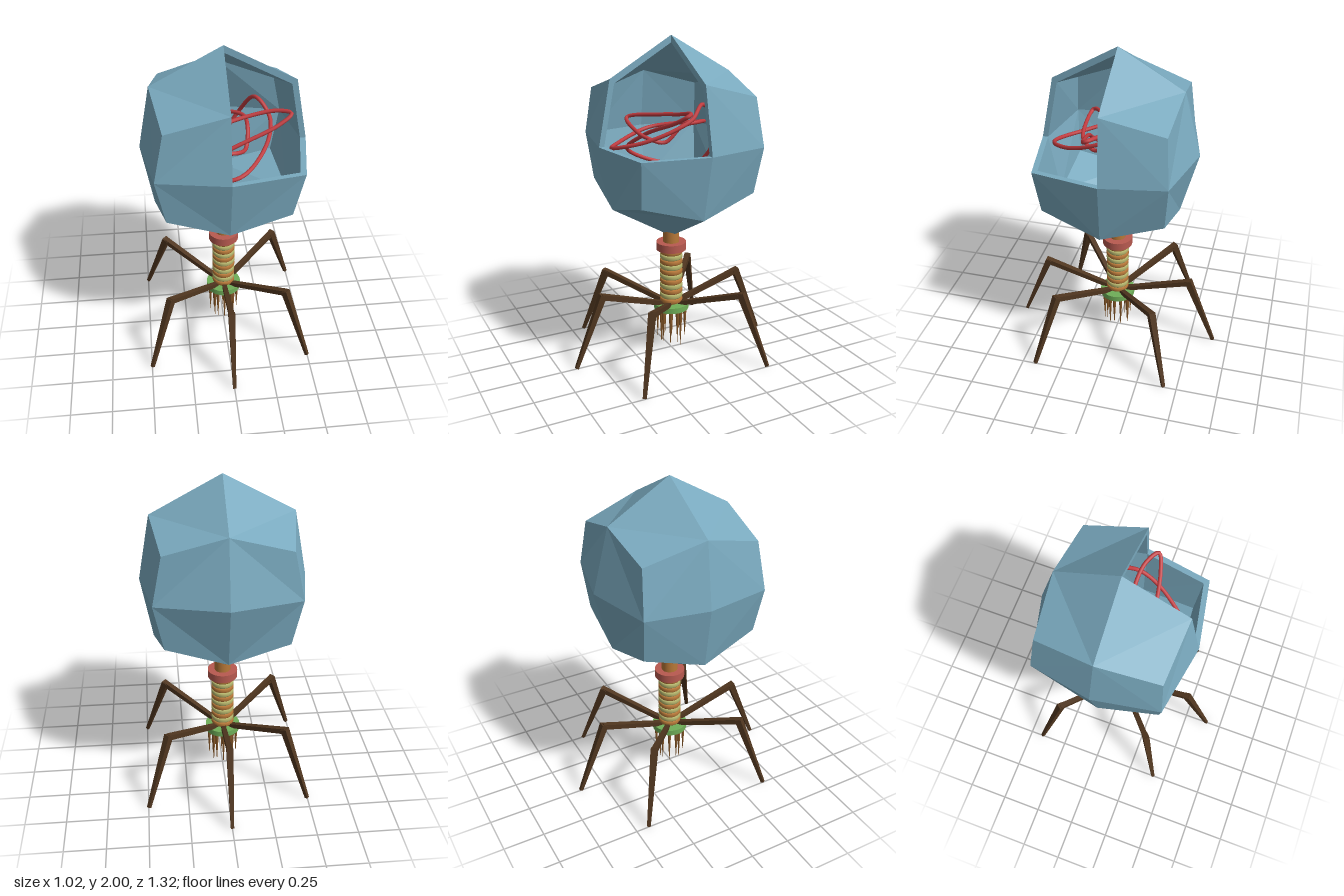
import * as THREE from 'three';

const mat = (color, flatShading = false) => new THREE.MeshStandardMaterial({ color, flatShading });
const shellMat = mat(0x7aaabf, true);
const orange = mat(0xb87838);
const khaki = mat(0xb5b56c);
const red = mat(0xb85a50);
const green = mat(0x6fae58);
const brown = mat(0x50361f, true);
const spikeMat = mat(0x8a5a2a);
const strandMat = mat(0xc23c40);

const V = (x, y, z) => new THREE.Vector3(x, y, z);

function add(parent, name, geometry, material, y = 0) {
  const mesh = new THREE.Mesh(geometry, material);
  mesh.name = name;
  mesh.position.y = y;
  parent.add(mesh);
  return mesh;
}

const disc = (r, h) => new THREE.CylinderGeometry(r, r, h, 32);

// Hollow faceted shell: three kites per octant, one octant left open
function shellGeometry(inner) {
  const pos = [];
  const tri = (a, b, c, dir) => {
    const n = b.clone().sub(a).cross(c.clone().sub(a));
    const list = n.dot(dir) > 0 ? [a, b, c] : [a, c, b];
    list.forEach((p) => pos.push(p.x, p.y, p.z));
  };
  for (const sx of [1, -1]) for (const sy of [1, -1]) for (const sz of [1, -1]) {
    const ax = V(0.49 * sx, 0, -0.01);
    const ay = V(0, 0.615 * sy, 0);
    const az = V(0, 0, sz > 0 ? 0.462 : -0.488);
    const exy = V(0.42 * sx, 0.388 * sy, 0);
    const exz = V(0.42 * sx, 0, 0.387 * sz);
    const eyz = V(0, 0.388 * sy, 0.387 * sz);
    const corner = V(0.362 * sx, 0.285 * sy, 0.362 * sz);
    const shrink = (p) => p.clone().multiplyScalar(inner);
    if (sx > 0 && sy > 0 && sz > 0) {
      // Cut faces of the wall around the opening
      const rim = [ax, exy, ay, eyz, az, exz, ax];
      const facing = [V(0, 0, 1), V(1, 0, 0), V(0, 1, 0)];
      for (let i = 0; i < 6; i++) {
        const a = rim[i], b = rim[i + 1], d = facing[i >> 1];
        tri(a, b, shrink(b), d);
        tri(a, shrink(b), shrink(a), d);
      }
      continue;
    }
    for (const [axis, e1, e2] of [[ax, exy, exz], [ay, exy, eyz], [az, exz, eyz]]) {
      for (const t of [[axis, e1, e2], [corner, e1, e2]]) {
        const out = t[0].clone().add(t[1]).add(t[2]);
        tri(...t, out);
        tri(...t.map(shrink), out.clone().negate());
      }
    }
  }
  const g = new THREE.BufferGeometry();
  g.setAttribute('position', new THREE.Float32BufferAttribute(pos, 3));
  g.computeVertexNormals();
  return g;
}

// Square tapered bar between two points
function bar(parent, name, from, to, r0, r1) {
  const dir = to.clone().sub(from);
  const g = new THREE.CylinderGeometry(r1, r0, dir.length(), 4);
  g.rotateY(Math.PI / 4);
  const mesh = add(parent, name, g, brown);
  mesh.position.copy(from).add(to).multiplyScalar(0.5);
  mesh.quaternion.setFromUnitVectors(V(0, 1, 0), dir.normalize());
}

export function createModel() {
  const model = new THREE.Group();
  model.name = 'phage';

  add(model, 'headShell', shellGeometry(0.93), shellMat, 1.383);

  // Coiled strand inside the head
  const path = [
    [-0.2, 1.5, 0.2], [0, 1.54, 0.06], [0.13, 1.56, 0.02], [0.3, 1.595, 0.03],
    [0.38, 1.6, 0.08], [0.3, 1.55, 0.12], [0, 1.43, 0.175], [-0.2, 1.3, 0.2],
    [-0.2, 1.2, 0], [-0.05, 1.2, -0.2], [0.12, 1.45, -0.25], [0.2, 1.62, -0.1],
    [0.265, 1.55, 0], [0.25, 1.49, 0.12], [0.18, 1.43, 0.25], [0.08, 1.39, 0.36],
    [0, 1.37, 0.38], [-0.15, 1.35, 0.3], [-0.3, 1.4, 0], [-0.1, 1.45, -0.25],
    [0.12, 1.5, -0.12], [0.14, 1.49, 0], [0.12, 1.4, 0.1], [0.07, 1.42, 0.18],
    [0, 1.44, 0.21],
  ].map((p) => V(...p));
  const curve = new THREE.CatmullRomCurve3(path, true);
  add(model, 'strand', new THREE.TubeGeometry(curve, 300, 0.012, 8, true), strandMat);

  // Tail: core, collar, ringed sheath, base plate
  add(model, 'tailCore', disc(0.05, 0.52), orange, 0.56);
  add(model, 'collar', disc(0.093, 0.05), red, 0.708);
  const rings = 11;
  for (let i = 0; i < rings; i++) {
    const y = 0.67 - i * 0.0325;
    const ring = new THREE.LatheGeometry(
      [[0.05, -0.015], [0.066, -0.015], [0.071, -0.008], [0.071, 0.008], [0.066, 0.015], [0.05, 0.015]]
        .map((p) => new THREE.Vector2(...p)), 32);
    add(model, 'sheathRing', ring, i % 2 ? khaki : orange, y);
  }
  add(model, 'basePlate', disc(0.11, 0.036), green, 0.302);

  // Spikes under the base plate
  for (let i = 0; i < 12; i++) {
    const long = i % 2 === 1;
    const a = (i * Math.PI) / 6;
    const h = long ? 0.26 : 0.22;
    const r = long ? 0.07 : 0.087;
    const g = new THREE.ConeGeometry(0.013, h, 8);
    g.rotateX(Math.PI);
    const spike = add(model, 'spike', g, spikeMat, 0.29 - h / 2);
    spike.position.x = r * Math.cos(a);
    spike.position.z = r * Math.sin(a);
  }

  // Six bent legs
  for (const deg of [40, 90, 140, 220, 270, 320]) {
    const leg = new THREE.Group();
    leg.name = 'leg';
    bar(leg, 'upperLeg', V(0.05, 0.32, 0), V(0.475, 0.45, 0), 0.02, 0.024);
    bar(leg, 'lowerLeg', V(0.465, 0.46, 0), V(0.65, 0.003, 0), 0.029, 0.014);
    leg.rotation.y = THREE.MathUtils.degToRad(deg);
    model.add(leg);
  }

  return model;
}
